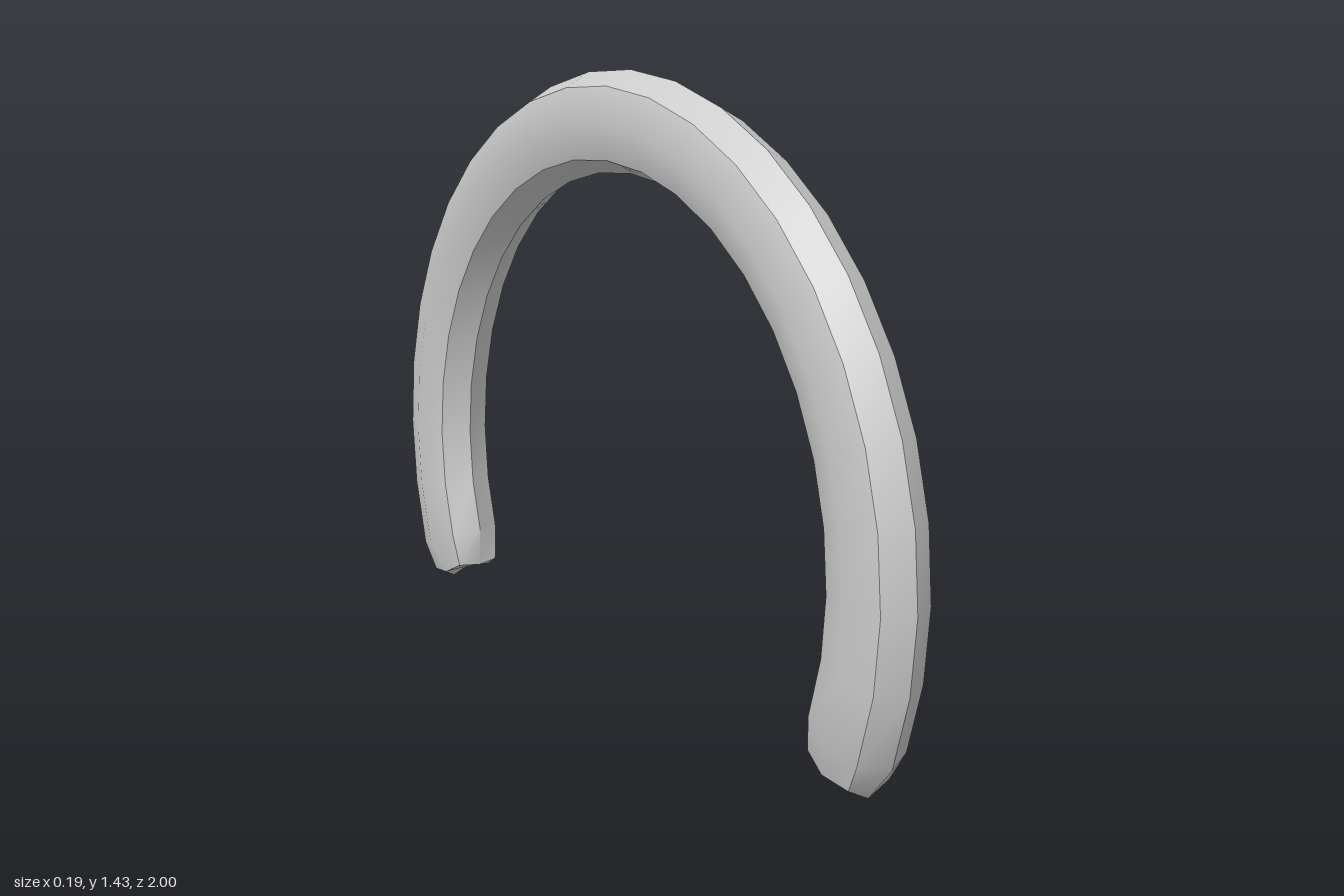
import * as THREE from 'three';
import { toCreasedNormals } from 'three/addons/utils/BufferGeometryUtils.js';

const CENTRE_Y = 0.43;
const rad = THREE.MathUtils.degToRad;

// Half cross-sections, from outer ridge to inner ridge: [radius, x]
const BODY = [[1, 0], [0.966, 0.066], [0.883, 0.093], [0.8, 0.066], [0.766, 0]];
// Tapered tip, each corner with its own angle past horizontal: [radius, x, degrees]
const TIP = [[0.97, 0, 26.2], [0.958, 0.055, 24.6], [0.886, 0.065, 25.9], [0.819, 0.055, 25.7], [0.811, 0, 26.3]];

// Closes a half section into a full ring by mirroring it in x
const mirror = (half) => [...half, ...half.slice(1, -1).reverse().map(([r, x, d]) => [r, -x, d])];

function archGeometry() {
  const pos = [], index = [];
  const body = mirror(BODY), tip = mirror(TIP), n = body.length;
  const addPoint = (r, x, deg) => pos.push(x, CENTRE_Y + r * Math.sin(rad(deg)), r * Math.cos(rad(deg)));

  // Rings along the arch, with a tapered ring at either end
  tip.forEach(([r, x, d]) => addPoint(r, x, -d));
  for (let a = -20; a <= 200; a += 10) body.forEach(([r, x]) => addPoint(r, x, a));
  tip.forEach(([r, x, d]) => addPoint(r, x, 180 + d));

  // Side faces
  const rings = pos.length / 3 / n;
  for (let i = 0; i < rings - 1; i++) {
    for (let j = 0; j < n; j++) {
      const k = (j + 1) % n;
      const a = i * n + j, b = i * n + k, c = b + n, d = a + n;
      index.push(a, b, c, a, c, d);
    }
  }

  // End caps
  const first = pos.length / 3, last = (rings - 1) * n;
  addPoint(0.888, 0, -25.7);
  addPoint(0.888, 0, 205.7);
  for (let j = 0; j < n; j++) {
    const k = (j + 1) % n;
    index.push(first, k, j, first + 1, last + j, last + k);
  }

  const geo = new THREE.BufferGeometry();
  geo.setAttribute('position', new THREE.Float32BufferAttribute(pos, 3));
  geo.setIndex(index);
  return toCreasedNormals(geo, rad(40));
}

export function createModel() {
  const group = new THREE.Group();
  group.name = 'archedBand';
  const band = new THREE.Mesh(archGeometry(), new THREE.MeshStandardMaterial({ color: 0xcccccc }));
  band.name = 'band';
  group.add(band);
  return group;
}
